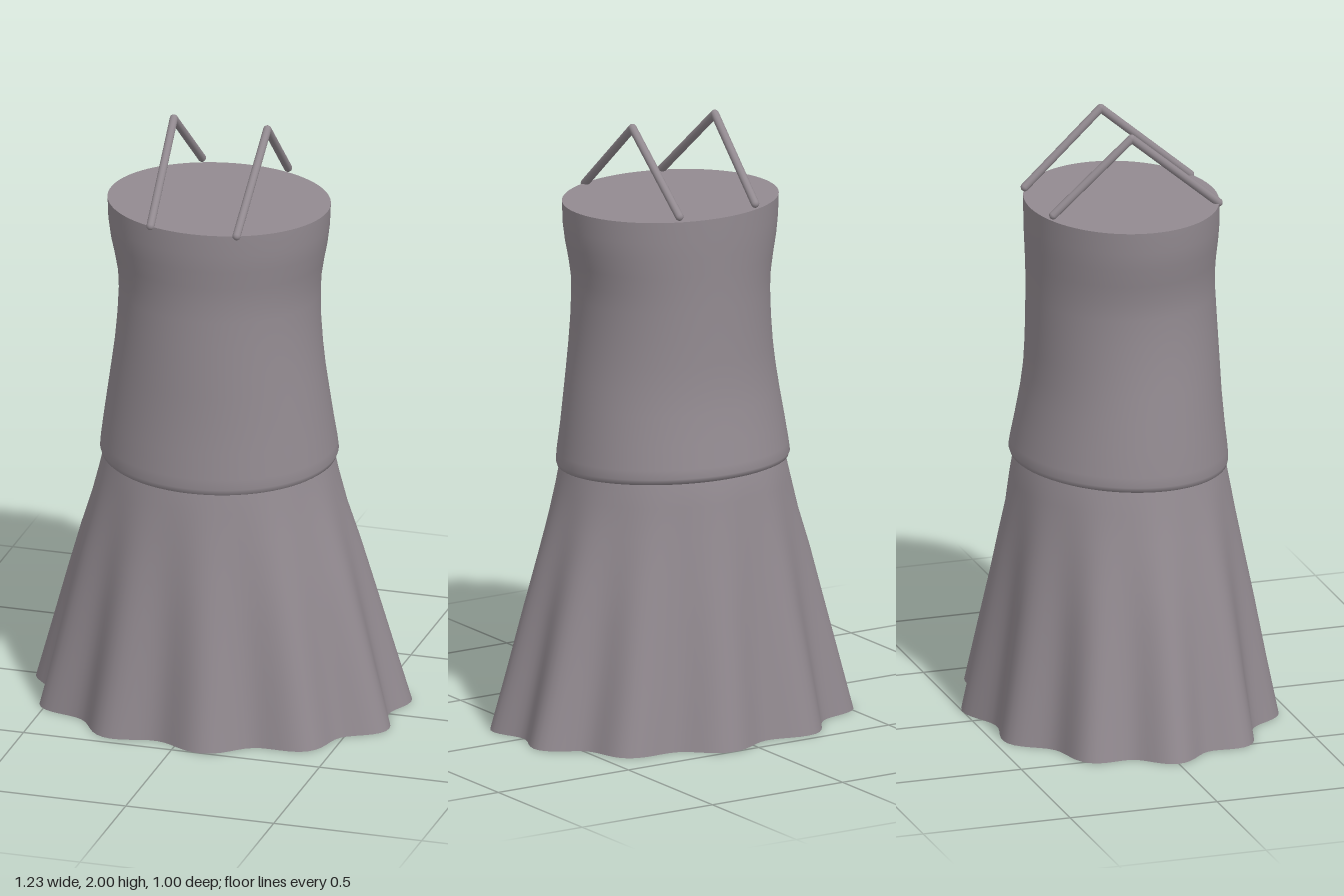
import * as THREE from 'three';

const SEGMENTS = 132;
const FOLDS = 11;

// Point on a ring: [y, minX, maxX, minZ, maxZ, fold depth, tilt]
function ringPoint([y, x0, x1, z0, z1, fold, tilt], angle) {
  const c = Math.cos(angle), s = Math.sin(angle);
  const wave = fold * Math.cos(FOLDS * (angle - Math.PI));
  return [
    (x0 + x1) / 2 + c * ((x1 - x0) / 2 + wave),
    y - tilt * s,
    (z0 + z1) / 2 + s * ((z1 - z0) / 2 + wave),
  ];
}

// Smooth closed wall through rings listed from bottom to top
function loft(rings) {
  const pos = [], index = [];
  rings.forEach((ring, r) => {
    for (let i = 0; i < SEGMENTS; i++) {
      pos.push(...ringPoint(ring, (i / SEGMENTS) * Math.PI * 2));
      if (r === rings.length - 1) continue;
      const a = r * SEGMENTS + i, b = r * SEGMENTS + (i + 1) % SEGMENTS;
      index.push(a, a + SEGMENTS, b, b, a + SEGMENTS, b + SEGMENTS);
    }
  });
  return build(pos, index);
}

// Flat lid across one ring
function lid(ring, faceUp) {
  const pos = [(ring[1] + ring[2]) / 2, ring[0], (ring[3] + ring[4]) / 2], index = [];
  for (let i = 0; i < SEGMENTS; i++) {
    pos.push(...ringPoint(ring, (i / SEGMENTS) * Math.PI * 2));
    const a = i + 1, b = (i + 1) % SEGMENTS + 1;
    index.push(0, ...(faceUp ? [b, a] : [a, b]));
  }
  return build(pos, index);
}

function build(pos, index) {
  const g = new THREE.BufferGeometry();
  g.setAttribute('position', new THREE.Float32BufferAttribute(pos, 3));
  g.setIndex(index);
  g.computeVertexNormals();
  return g;
}

export function createModel() {
  const model = new THREE.Group();
  model.name = 'dress';
  const fabric = new THREE.MeshStandardMaterial({ color: 0x928a90 });
  fabric.name = 'mauve grey fabric';
  const add = (name, geometry, parent = model) => {
    const mesh = new THREE.Mesh(geometry, fabric);
    mesh.name = name;
    parent.add(mesh);
    return mesh;
  };

  // Flared skirt, its folds deepening towards the hem
  const skirt = [
    [0, -0.58, 0.61, -0.477, 0.477, 0.03, 0],
    [0.2, -0.532, 0.557, -0.444, 0.445, 0.022, 0],
    [0.4, -0.484, 0.505, -0.41, 0.415, 0.014, 0],
    [0.55, -0.447, 0.464, -0.387, 0.39, 0.008, 0],
    [0.68, -0.41, 0.424, -0.364, 0.369, 0.003, 0],
    [0.78, -0.385, 0.398, -0.35, 0.353, 0.001, 0.005],
    [0.84, -0.371, 0.385, -0.338, 0.344, 0, 0.014],
    [0.88, -0.36, 0.375, -0.325, 0.335, 0, 0.014],
  ];
  add('skirt', loft(skirt));
  add('hemBase', lid(skirt[0], false));

  // Bodice with a rolled lower edge over the skirt
  const bodice = [
    [0.847, -0.366, 0.381, -0.334, 0.34, 0, 0.015],
    [0.853, -0.376, 0.391, -0.347, 0.347, 0, 0.015],
    [0.868, -0.381, 0.396, -0.352, 0.35, 0, 0.015],
    [0.9, -0.378, 0.393, -0.347, 0.348, 0, 0.012],
    [0.98, -0.367, 0.381, -0.332, 0.338, 0, 0.005],
    [1.08, -0.352, 0.368, -0.314, 0.329, 0, 0],
    [1.16, -0.34, 0.357, -0.304, 0.325, 0, 0],
    [1.24, -0.329, 0.348, -0.3, 0.321, 0, 0],
    [1.33, -0.321, 0.341, -0.298, 0.316, 0, 0],
    [1.42, -0.317, 0.339, -0.297, 0.311, 0, 0],
    [1.48, -0.32, 0.342, -0.297, 0.309, 0, 0],
    [1.54, -0.331, 0.352, -0.298, 0.312, 0, 0],
    [1.6, -0.344, 0.364, -0.3, 0.318, 0, 0],
    [1.66, -0.352, 0.372, -0.301, 0.322, 0, 0],
    [1.73, -0.355, 0.375, -0.301, 0.321, 0, 0],
  ];
  add('bodice', loft(bodice));
  add('bodiceTop', lid(bodice[bodice.length - 1], true));

  // Angled shoulder straps, each two thin rods meeting at a rounded peak
  const radius = 0.0135;
  const straps = [
    ['rightStrap', -0.135, -0.149],
    ['leftStrap', 0.156, 0.167],
  ];
  for (const [name, baseX, peakX] of straps) {
    const strap = new THREE.Group();
    strap.name = name;
    model.add(strap);
    const peak = new THREE.Vector3(peakX, 1.986, -0.008);
    const ends = {
      Front: new THREE.Vector3(baseX, 1.73, 0.293),
      Back: new THREE.Vector3(baseX, 1.748, -0.27),
    };
    for (const side in ends) {
      const path = new THREE.LineCurve3(ends[side], peak);
      add(name + side, new THREE.TubeGeometry(path, 1, radius, 12), strap);
      add(name + side + 'End', new THREE.SphereGeometry(radius, 12, 8), strap).position.copy(ends[side]);
    }
    add(name + 'Peak', new THREE.SphereGeometry(radius, 12, 8), strap).position.copy(peak);
  }
  return model;
}
